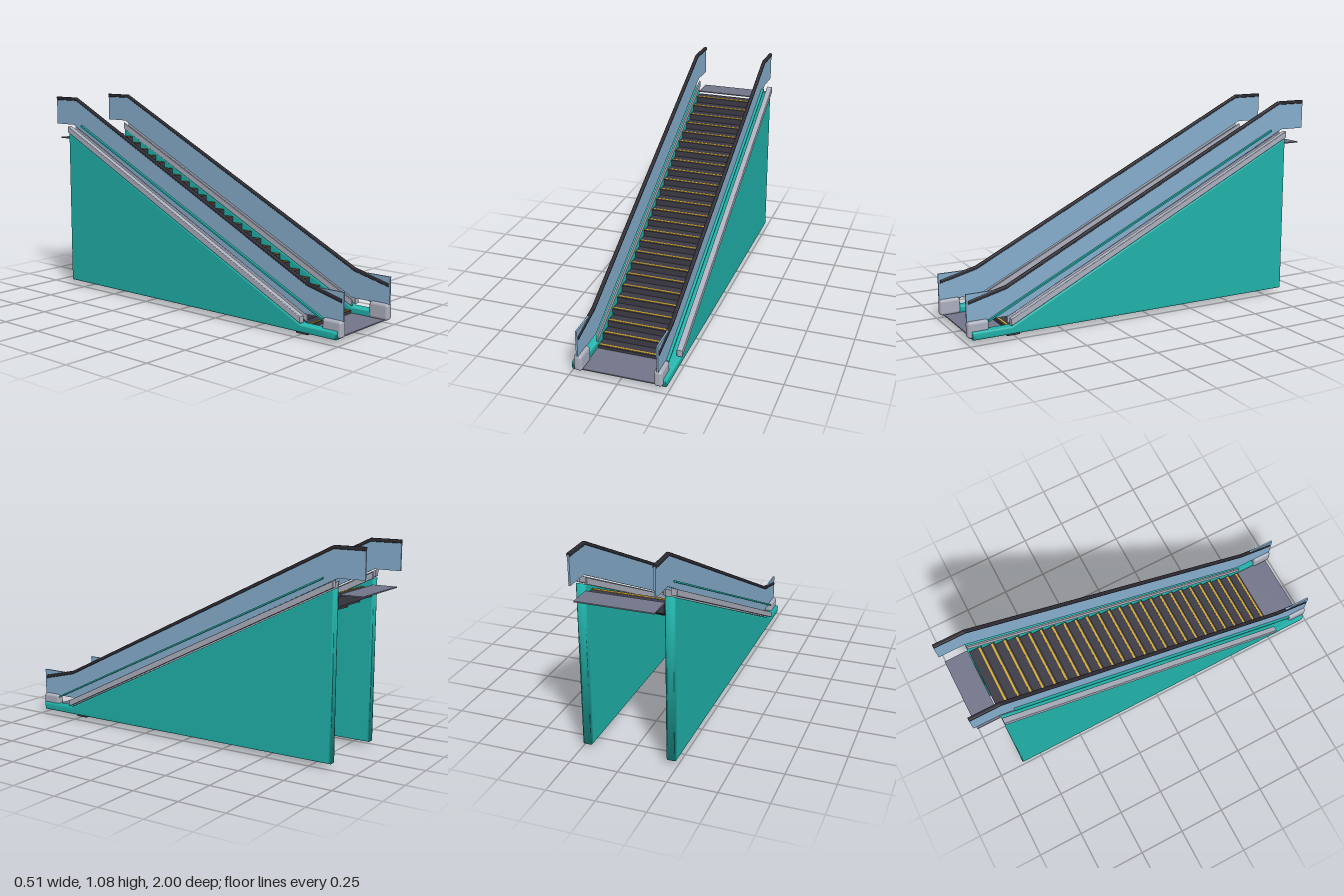
import * as THREE from 'three';
import { mergeVertices } from 'three/addons/utils/BufferGeometryUtils.js';
import { RoundedBoxGeometry } from 'three/addons/geometries/RoundedBoxGeometry.js';

const paint = (name, color) => {
  const m = new THREE.MeshStandardMaterial({ color });
  m.name = name;
  return m;
};

// Side-on outline of [z, y] points, extruded across x from x0 to x1
function slab(points, x0, x1, bevel = 0, smooth = false) {
  const shape = new THREE.Shape(points.map(([z, y]) => new THREE.Vector2(-z, y)));
  let geo = new THREE.ExtrudeGeometry(shape, {
    depth: x1 - x0 - 2 * bevel, bevelEnabled: bevel > 0, bevelThickness: bevel,
    bevelSize: bevel, bevelOffset: -bevel, bevelSegments: 3,
  });
  geo.rotateY(Math.PI / 2).translate(x0 + bevel, 0, 0);
  if (smooth) {
    geo.deleteAttribute('uv');
    geo.deleteAttribute('normal');
    geo = mergeVertices(geo, 1e-5);
    geo.computeVertexNormals();
  }
  return geo;
}

// Outline of a strip with a given height that lies on a line of [z, y] points
const band = (line, height) =>
  [...line, ...line.map(([z, y]) => [z, y + height]).reverse()];

export function createModel() {
  const group = new THREE.Group();
  const teal = paint('teal cladding', 0x20b2aa);
  const glass = paint('blue glass', 0x86aecd);
  const rubber = paint('black rubber', 0x2d2b32);
  const stepGrey = paint('dark step metal', 0x3c3b45);
  const plateGrey = paint('landing plate metal', 0x73768a);
  const trimGrey = paint('light trim metal', 0xacb0be);
  const yellow = paint('yellow edge', 0xd6a82e);

  const add = (name, geometry, material, parent = group) => {
    const mesh = new THREE.Mesh(geometry, material);
    mesh.name = name;
    parent.add(mesh);
    return mesh;
  };

  // Stairs: overlapping treads, each with a yellow line near its front edge
  const count = 25, run = 0.0655, rise = 0.0328, height = 0.046, width = 0.378;
  for (let i = 0; i < count; i++) {
    const step = new THREE.Group();
    step.name = 'step' + (i + 1);
    step.position.set(0, i * rise, 0.783 - i * run);
    add('tread', new THREE.BoxGeometry(width, height, run + 0.002)
      .translate(0, height / 2, -run / 2), stepGrey, step);
    add('edgeLine', new THREE.BoxGeometry(width - 0.004, 0.003, 0.01)
      .translate(0, height + 0.0005, -0.013), yellow, step);
    group.add(step);
  }

  // Landing plates
  add('lowerLanding', new THREE.BoxGeometry(0.39, 0.006, 0.195)
    .translate(0, 0.028, 0.878), plateGrey);
  add('upperLanding', new THREE.BoxGeometry(0.39, 0.006, 0.125)
    .translate(0, 0.844, -0.923), plateGrey);

  const cladding = [[0.98, 0.025], [-0.86, 0.025], [-0.86, 0.88], [0.78, 0.066], [0.98, 0.066]];
  const pane = [[1, 0.11], [0.78, 0.11], [-0.86, 0.925], [-1, 0.925],
    [-1, 1.07], [-0.83, 1.07], [0.8, 0.252], [1, 0.252]];
  const railLine = [[0.99, 0.2], [0.79, 0.25], [-0.835, 1.062], [-1, 1.062]];
  const outerLine = [[0.785, 0.072], [-0.858, 0.885]];
  const innerLine = [[0.785, 0.068], [-0.858, 0.878]];
  const stripLine = [[0.89, 0.1], [-0.785, 0.917]];

  // Both balustrades
  for (const side of [1, -1]) {
    const wall = new THREE.Group();
    wall.name = side > 0 ? 'leftBalustrade' : 'rightBalustrade';
    const part = (name, material, points, x0, x1, bevel, smooth) => add(name,
      side > 0 ? slab(points, x0, x1, bevel, smooth) : slab(points, -x1, -x0, bevel, smooth),
      material, wall);
    part('sidePanel', teal, cladding, 0.192, 0.245, 0.01, true);
    part('glassPanel', glass, pane, 0.199, 0.208);
    part('handrail', rubber, band(railLine, 0.018), 0.194, 0.213, 0.005);
    part('outerTrim', trimGrey, band(outerLine, 0.034), 0.223, 0.254, 0.003);
    part('innerTrim', trimGrey, band(innerLine, 0.034), 0.187, 0.197, 0.002);
    part('glassStrip', teal, band(stripLine, 0.009), 0.207, 0.222);
    // Rounded housing where the handrail enters the floor
    add('handrailHousing', new RoundedBoxGeometry(0.044, 0.085, 0.11, 4, 0.015)
      .translate(side * 0.204, 0.072, 0.945), trimGrey, wall);
    group.add(wall);
  }
  return group;
}
